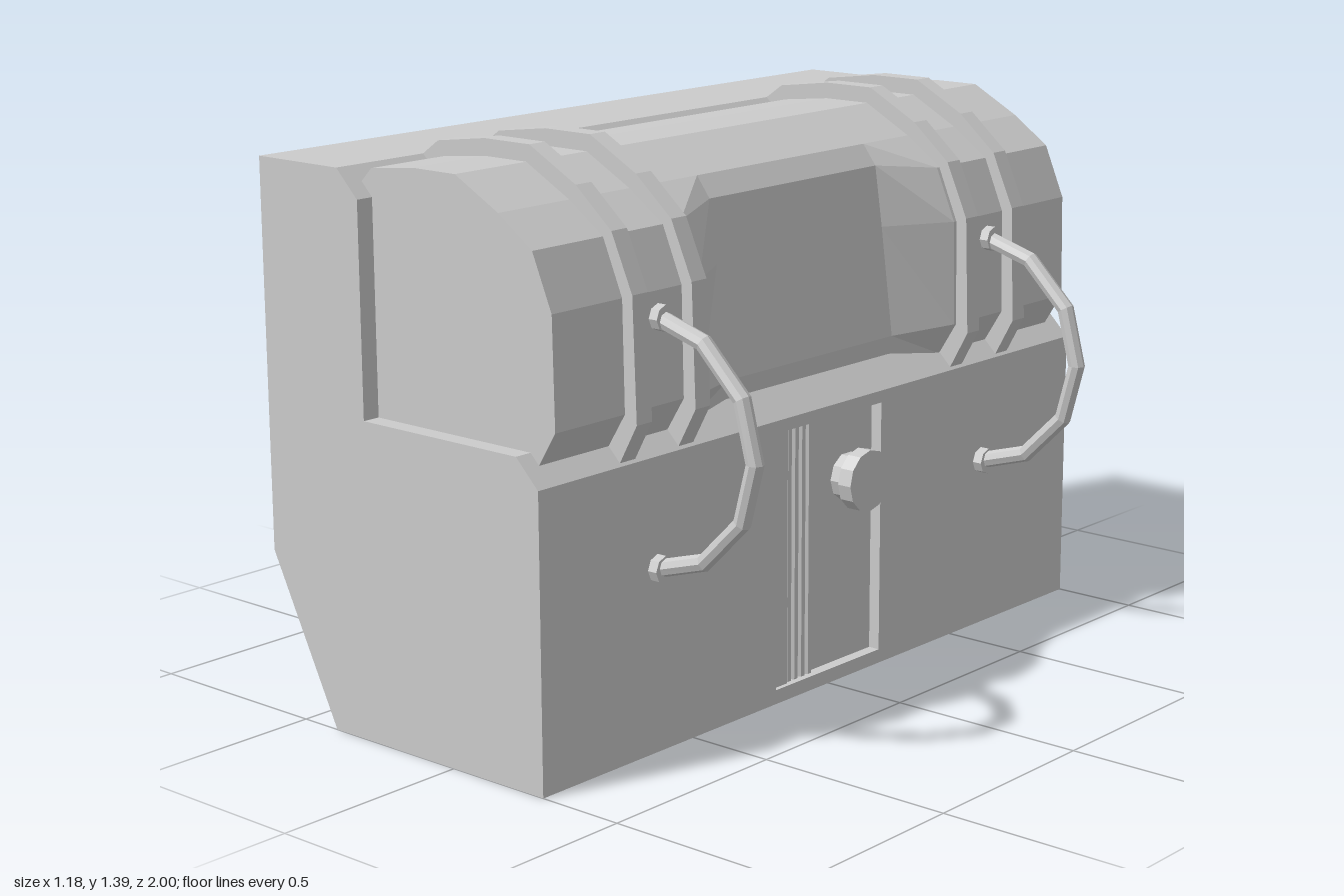
import * as THREE from 'three';

const mat = new THREE.MeshStandardMaterial({ color: 0xcccccc, flatShading: true });

function addMesh(parent, name, geometry) {
  const mesh = new THREE.Mesh(geometry, mat);
  mesh.name = name;
  parent.add(mesh);
  return mesh;
}

// Extrude an x-y outline from z0 to z1
function slab(points, z0, z1) {
  const shape = new THREE.Shape(points.map(([x, y]) => new THREE.Vector2(x, y)));
  const g = new THREE.ExtrudeGeometry(shape, { depth: z1 - z0, bevelEnabled: false });
  return g.translate(0, 0, z0);
}

// Join matching counter-clockwise outlines placed along z
function loft(sections) {
  const pos = [];
  for (let s = 0; s < sections.length - 1; s++) {
    const A = sections[s], B = sections[s + 1], n = A.pts.length;
    for (let i = 0; i < n; i++) {
      const j = (i + 1) % n;
      const a = [...A.pts[i], A.z], b = [...A.pts[j], A.z];
      const c = [...B.pts[j], B.z], d = [...B.pts[i], B.z];
      // mirror the diagonal so both ends match
      if (A.z < 0) pos.push(...a, ...b, ...c, ...a, ...c, ...d);
      else pos.push(...a, ...b, ...d, ...b, ...c, ...d);
    }
  }
  const g = new THREE.BufferGeometry();
  g.setAttribute('position', new THREE.Float32BufferAttribute(pos, 3));
  g.computeVertexNormals();
  return g;
}

// Cylinder lying along x
function disc(radius, x0, x1, y, z, sides) {
  const g = new THREE.CylinderGeometry(radius, radius, x1 - x0, sides);
  return g.rotateZ(-Math.PI / 2).translate((x0 + x1) / 2, y, z);
}

export function createModel() {
  const model = new THREE.Group();
  model.name = 'chest';

  // L-shaped body with chamfered edges around the seat of the lid
  const lower = [[-0.39, 0], [0.28, 0]];
  const upper = [[0.28, 0.70], [0.215, 0.765], [-0.265, 0.765],
    [-0.265, 1.27], [-0.33, 1.335], [-0.59, 1.335], [-0.59, 0.40]];
  const recess = [[0.28, 0.035], [0.25, 0.035], [0.25, 0.67], [0.28, 0.67]];
  const base = new THREE.Group();
  base.name = 'base';
  model.add(base);
  addMesh(base, 'baseRight', slab([...lower, ...upper], -1, -0.2));
  addMesh(base, 'baseMiddle', slab([...lower, ...recess, ...upper], -0.2, 0.2));
  addMesh(base, 'baseLeft', slab([...lower, ...upper], 0.2, 1));

  // Rounded lid, with a flat panel sunk into the middle of its front
  const lidBack = [[0.13, 1.28], [0, 1.35], [-0.13, 1.35], [-0.265, 1.335],
    [-0.30, 1.30], [-0.265, 1.25], [-0.265, 0.755]];
  const full = [[0.24, 0.74], [0.29, 0.82], [0.285, 1.08], [0.23, 1.21], ...lidBack];
  const sunk = [[0.215, 0.755], [0.225, 0.81], [0.19, 1.08], [0.168, 1.23], ...lidBack];
  const lid = new THREE.Group();
  lid.name = 'lid';
  model.add(lid);
  addMesh(lid, 'lidRight', slab(full, -0.955, -0.48));
  addMesh(lid, 'lidLeft', slab(full, 0.48, 0.955));
  addMesh(lid, 'lidPanel', loft([
    { z: -0.48, pts: full }, { z: -0.31, pts: sunk },
    { z: 0.31, pts: sunk }, { z: 0.48, pts: full },
  ]));

  // Raised bands around the lid
  const bandOutline = [[0.27, 0.70], [0.325, 0.80], [0.315, 1.09], [0.255, 1.225],
    [0.15, 1.315], [0.01, 1.39], [-0.13, 1.39], [-0.28, 1.37], [-0.33, 1.335],
    [-0.265, 1.25], [-0.265, 0.76], [0.2, 0.76]];
  for (const side of [-1, 1]) {
    for (const z of [0.515, 0.71]) {
      addMesh(model, 'band', slab(bandOutline, side * z - 0.025, side * z + 0.025));
    }
  }

  // Curved handles with collars at both ends
  const path = [[0.27, 1.025], [0.42, 0.98], [0.53, 0.87], [0.567, 0.73],
    [0.53, 0.59], [0.42, 0.48], [0.27, 0.435]];
  for (const z of [-0.62, 0.62]) {
    const handle = new THREE.Group();
    handle.name = 'handle';
    model.add(handle);
    const curve = new THREE.CatmullRomCurve3(path.map(([x, y]) => new THREE.Vector3(x, y, z)));
    curve.getPointAt = (t, target) => curve.getPoint(t, target);
    curve.getTangentAt = (t, target) => curve.getTangent(t, target);
    addMesh(handle, 'grip', new THREE.TubeGeometry(curve, 6, 0.021, 8));
    addMesh(handle, 'upperCollar', disc(0.031, 0.27, 0.31, 1.02, z, 8));
    addMesh(handle, 'lowerCollar', disc(0.033, 0.27, 0.305, 0.44, z, 8));
  }

  // Ribbed strip and raised margin inside the front recess
  const door = new THREE.Group();
  door.name = 'frontPanel';
  model.add(door);
  const margin = new THREE.BoxGeometry(0.02, 0.635, 0.055);
  addMesh(door, 'margin', margin.translate(0.258, 0.3525, 0.1725));
  for (let i = 0; i < 4; i++) {
    const rib = new THREE.CylinderGeometry(0.013, 0.013, 0.635, 6);
    addMesh(door, 'rib', rib.translate(0.252, 0.3525, 0.053 + i * 0.026));
  }

  // Knob
  addMesh(door, 'knobStem', disc(0.06, 0.245, 0.29, 0.5, -0.1, 10));
  addMesh(door, 'knob', disc(0.077, 0.287, 0.325, 0.5, -0.1, 12));

  return model;
}
